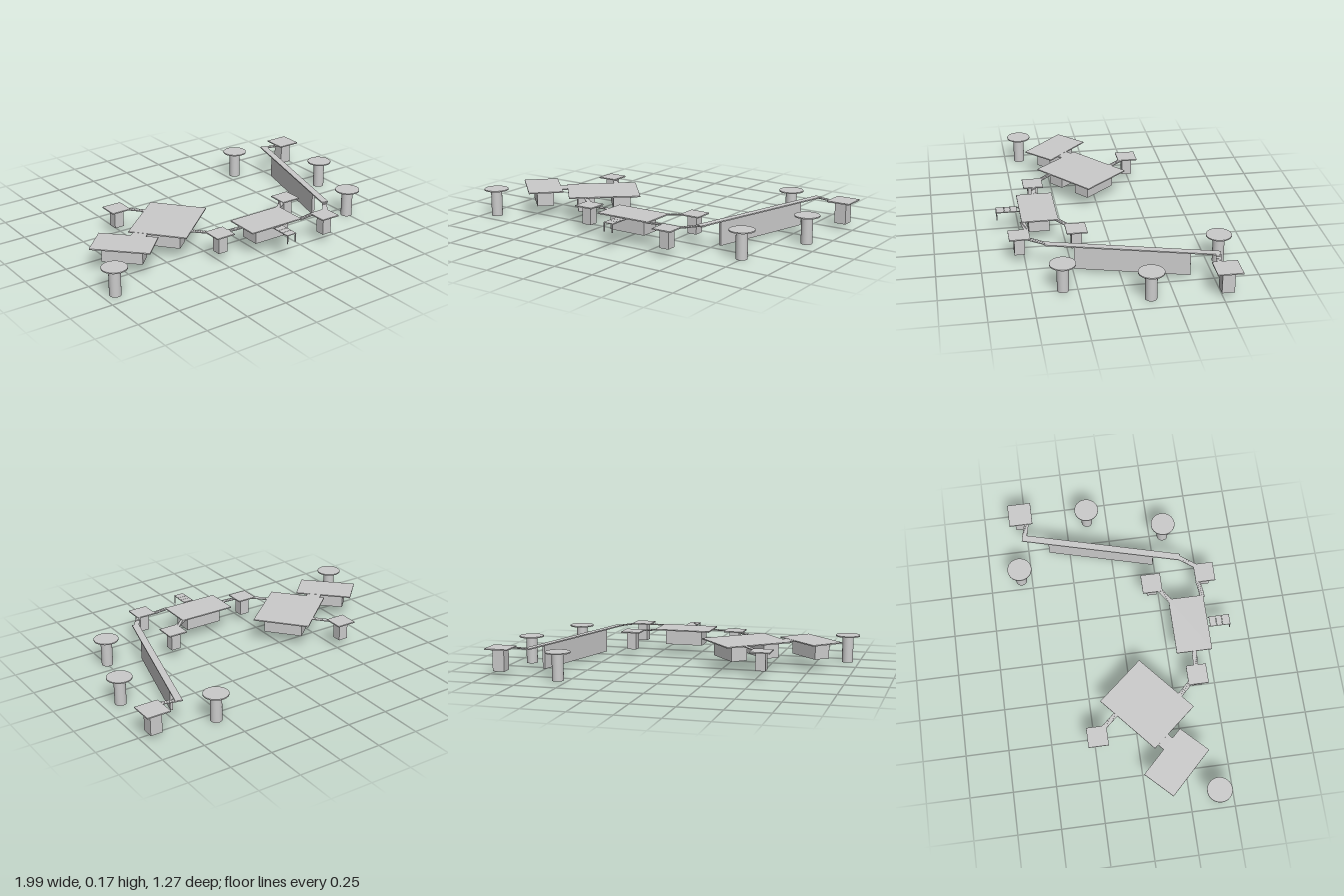
import * as THREE from 'three';

const TOP = 0.165, THICK = 0.007, UNDER = TOP - THICK;
const material = new THREE.MeshStandardMaterial({ color: 0xcccccc, flatShading: true });
const smooth = new THREE.MeshStandardMaterial({ color: 0xcccccc });

function box(name, w, h, d, x, y, z) {
  const mesh = new THREE.Mesh(new THREE.BoxGeometry(w, h, d), material);
  mesh.name = name;
  mesh.position.set(x, y, z);
  return mesh;
}

function cylinder(name, r, h, y) {
  const mesh = new THREE.Mesh(new THREE.CylinderGeometry(r, r, h, 32), smooth);
  mesh.name = name;
  mesh.position.y = y;
  return mesh;
}

function place(name, x, z, turn, ...parts) {
  const group = new THREE.Group();
  group.name = name;
  group.position.set(x, 0, z);
  group.rotation.y = turn;
  group.add(...parts);
  return group;
}

// Flat deck carried on a block or post that stops at height "bottom"
function deck(name, x, z, turn, w, d, baseW, baseD, bottom) {
  return place(name, x, z, turn,
    box('deckPlate', w, THICK, d, 0, UNDER + THICK / 2, 0),
    box('deckBase', baseW, UNDER - bottom, baseD, 0, (UNDER + bottom) / 2, 0));
}

// Round table-like dolphin: post with a disc cap
function dolphin(x, z) {
  return place('mooringPost', x, z, 0,
    cylinder('post', 0.033, UNDER, UNDER / 2),
    cylinder('cap', 0.072, THICK, UNDER + THICK / 2));
}

// Narrow gangway of planks running from one point to another
function gangway(x0, z0, x1, z1) {
  const dx = x1 - x0, dz = z1 - z0, length = Math.hypot(dx, dz), n = 8;
  const step = length / n, parts = [];
  parts.push(box('gangwayBed', length, 0.003, 0.026, 0, UNDER + 0.0015, 0));
  for (let i = 0; i < n; i++) {
    parts.push(box('plank', step * 0.85, 0.003, 0.028, (i + 0.5) * step - length / 2, UNDER + 0.0035, 0));
  }
  return place('gangway', (x0 + x1) / 2, (z0 + z1) / 2, Math.atan2(-dz, dx), ...parts);
}

export function createModel() {
  const model = new THREE.Group();
  model.name = 'pier';

  // Round posts
  [[0.56, -0.565], [0.9, -0.12], [0.745, 0.33], [-0.93, 0.41]]
    .forEach(([x, z]) => model.add(dolphin(x, z)));

  // Small square platforms on posts
  [[-0.532, -0.232], [-0.237, 0.39], [0.366, 0.207], [0.396, 0.53]]
    .forEach(([x, z]) => model.add(deck('smallPlatform', x, z, 0, 0.117, 0.117, 0.058, 0.058, 0.053)));
  model.add(deck('endPlatform', 0.923, -0.525, 0, 0.14, 0.14, 0.07, 0.07, 0.03));

  // Central platform
  model.add(deck('centralPlatform', 0.078, 0.396, 0, 0.343, 0.209, 0.23, 0.12, 0.067));

  // Twin turned platforms side by side, and a third joined by a short link
  const turn = 0.705;
  for (const s of [-1, 1]) {
    model.add(deck('twinPlatform', -0.376 + s * 0.105 * Math.cos(turn), 0.075 - s * 0.105 * Math.sin(turn),
      turn, 0.21, 0.336, 0.1, 0.23, 0.067));
  }
  model.add(deck('outerPlatform', -0.74, 0.194, Math.PI / 4, 0.206, 0.338, 0.1, 0.23, 0.067));
  model.add(place('platformLink', -0.603, 0.14, turn,
    box('linkPlate', 0.1, THICK, 0.085, 0, UNDER + THICK / 2 - 0.001, 0)));

  // Long walkway above a thin wall
  const wx = 0.25, wz = -0.925, walkTurn = Math.atan2(-wz, wx), length = Math.hypot(wx, wz);
  model.add(place('longWalkway', 0.639, -0.064, walkTurn,
    box('walkwayDeck', length, THICK, 0.04, 0, UNDER + THICK / 2, 0),
    box('walkwayWall', 0.638, 0.138, 0.016, 0, 0.089, 0)));

  // Gangways between the platforms
  [
    [-0.484, -0.19, -0.405, -0.1], [-0.35, 0.27, -0.275, 0.348],
    [-0.182, 0.39, -0.085, 0.394], [0.236, 0.304, 0.325, 0.243],
    [0.24, 0.497, 0.342, 0.483], [0.445, 0.482, 0.517, 0.385],
    [0.77, -0.513, 0.877, -0.486],
  ].forEach((ends) => model.add(gangway(...ends)));

  // Boarding steps with two thin legs
  const steps = place('boardingSteps', 0.078, 0, 0);
  [[0.512, 0.55], [0.552, 0.585], [0.587, 0.632]].forEach(([a, b]) =>
    steps.add(box('step', 0.063, 0.004, b - a, 0, UNDER + 0.003, (a + b) / 2)));
  for (const s of [-1, 1]) {
    steps.add(box('stepRail', 0.004, 0.004, 0.135, s * 0.027, UNDER, 0.565));
    steps.add(box('stepLeg', 0.005, 0.05, 0.005, s * 0.027, 0.135, 0.63));
  }
  model.add(steps);
  return model;
}
